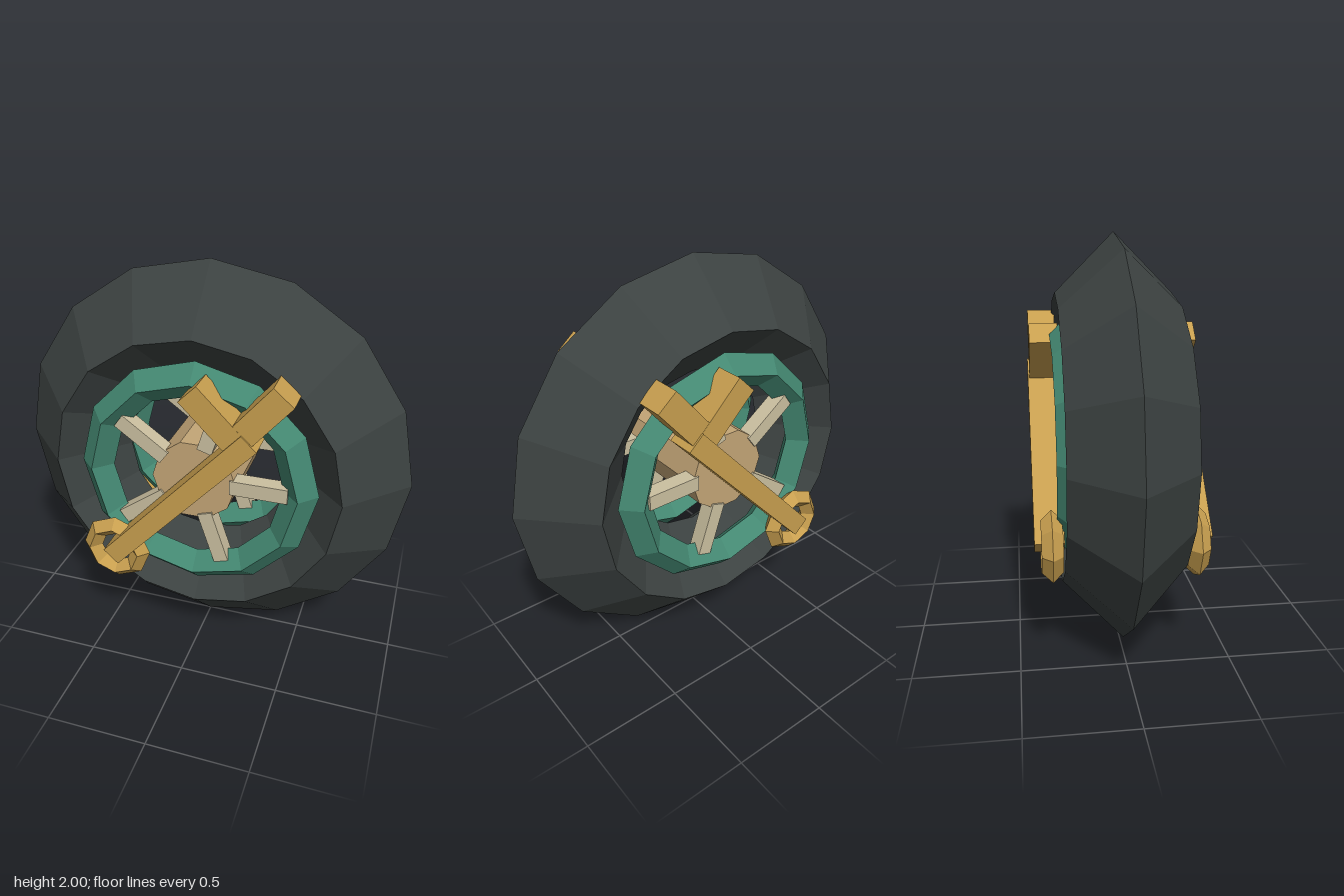
import * as THREE from 'three';

export function createModel() {
  const model = new THREE.Group();
  model.name = 'wheel';

  const material = (name, color) => {
    const m = new THREE.MeshStandardMaterial({ color, flatShading: true });
    m.name = name;
    return m;
  };
  const rubber = material('dark rubber', 0x3c4241);
  const teal = material('teal', 0x448872);
  const gold = material('gold', 0xc89f4f);
  const tan = material('tan', 0xc4a677);
  const cream = material('cream', 0xcbc0a0);

  const add = (parent, name, geometry, mat, x = 0, y = 0, z = 0, turn = 0) => {
    const mesh = new THREE.Mesh(geometry, mat);
    mesh.name = name;
    mesh.position.set(x, y, z);
    mesh.rotation.z = turn;
    parent.add(mesh);
    return mesh;
  };

  // Bar running between two points of the wheel plane
  const bar = (parent, name, [x1, y1], [x2, y2], width, depth, z) =>
    add(parent, name,
      new THREE.BoxGeometry(Math.hypot(x2 - x1, y2 - y1), width, depth), gold,
      (x1 + x2) / 2, (y1 + y2) / 2, z, Math.atan2(y2 - y1, x2 - x1));

  // Tyre with a diamond section
  add(model, 'tyre', new THREE.TorusGeometry(0.715, 0.285, 4, 16), rubber, 0, 1, 0);

  // Ten-sided hub along the axle
  const hub = new THREE.CylinderGeometry(0.21, 0.21, 0.54, 10, 1, false, Math.PI / 2);
  hub.rotateX(Math.PI / 2);
  add(model, 'hub', hub, tan, 0, 1, 0);

  // The same fittings on both faces of the wheel
  for (const side of [1, -1]) {
    const face = new THREE.Group();
    face.name = side > 0 ? 'frontFace' : 'backFace';
    model.add(face);

    add(face, 'rim', new THREE.TorusGeometry(0.515, 0.085, 4, 12), teal, 0, 1, side * 0.23);

    for (let i = 0; i < 5; i++) {
      const a = (i / 5) * Math.PI * 2;
      add(face, 'spoke', new THREE.BoxGeometry(0.28, 0.075, 0.08), cream,
        Math.cos(a) * 0.32, 1 + Math.sin(a) * 0.32, side * 0.24, a);
    }

    // Key-shaped ornament: shaft, two teeth and a bow ring
    const key = new THREE.Group();
    key.name = 'key';
    face.add(key);
    bar(key, 'keyShaft', [-0.395, 0.568], [0.305, 1.325], 0.1, 0.14, side * 0.35);
    bar(key, 'keyTooth', [0.022, 1.52], [0.27, 1.27], 0.12, 0.14, side * 0.342);
    bar(key, 'keyTooth', [0.448, 1.56], [0.235, 1.31], 0.122, 0.14, side * 0.341);
    add(key, 'keyRing', new THREE.TorusGeometry(0.13, 0.05, 4, 8), gold,
      -0.395, 0.575, side * 0.34);
  }

  return model;
}
